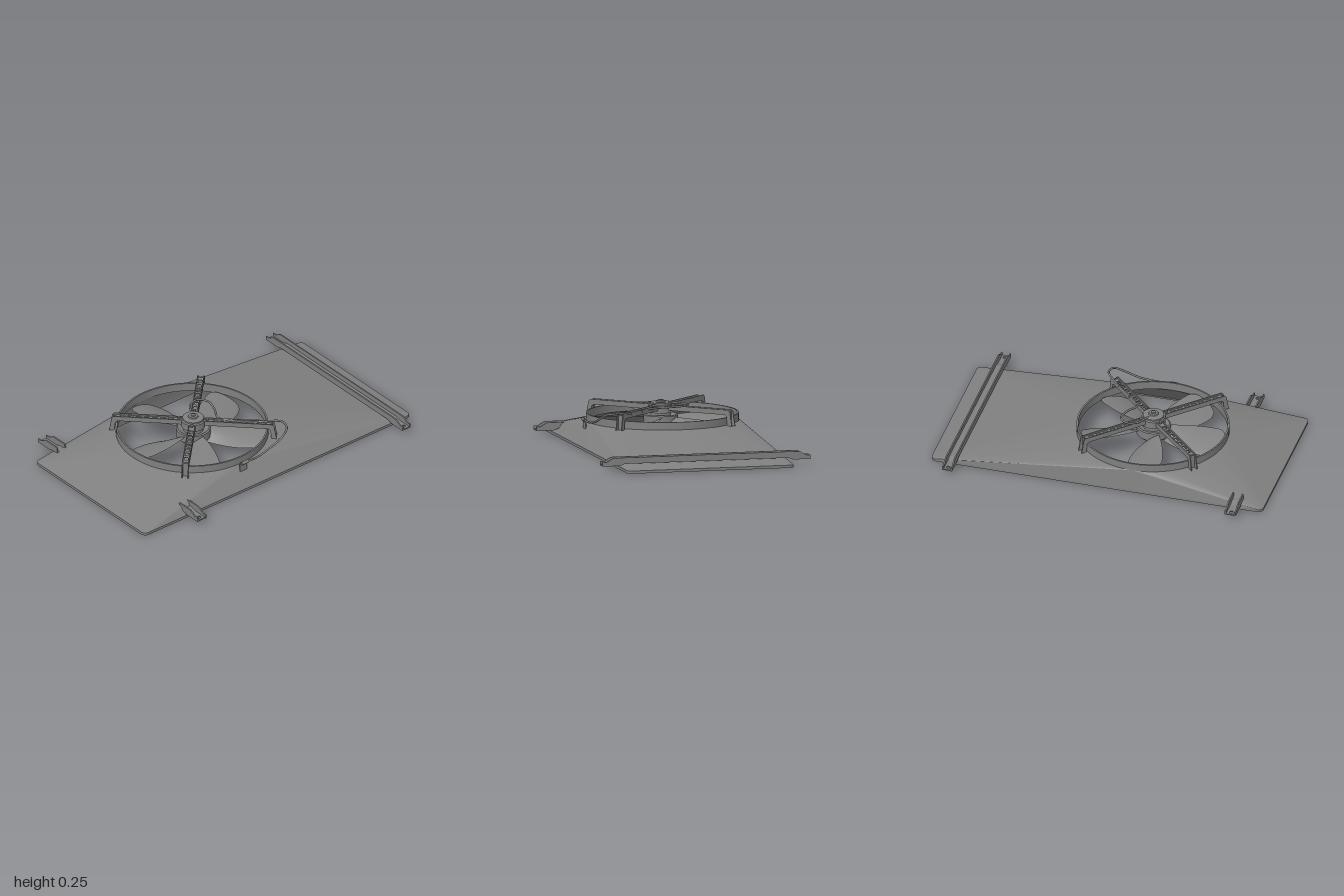
import * as THREE from 'three';
import { toCreasedNormals } from 'three/addons/utils/BufferGeometryUtils.js';
import { ParametricGeometry } from 'three/addons/geometries/ParametricGeometry.js';

const grey = new THREE.MeshStandardMaterial({ color: 0x808080, side: THREE.DoubleSide });
grey.name = 'grey';

const V = (x, y, z) => new THREE.Vector3(x, y, z);

function add(parent, name, geo, x = 0, y = 0, z = 0) {
  const m = new THREE.Mesh(geo, grey);
  m.name = name;
  m.position.set(x, y, z);
  parent.add(m);
  return m;
}

function polygon(points) {
  return new THREE.Shape(points.map(([x, y]) => new THREE.Vector2(x, y)));
}

function extrude(shape, depth) {
  return new THREE.ExtrudeGeometry(shape, { depth, bevelEnabled: false, curveSegments: 10 });
}

function lathe(points, segments = 48) {
  const g = new THREE.LatheGeometry(points.map(([x, y]) => new THREE.Vector2(x, y)), segments);
  return toCreasedNormals(g, 0.5);
}

// Sheet lofted from a rounded rectangle at the base to a round collar
function shroudGeometry() {
  const n = 16, corner = 0.03, cx = -0.208, cz = -0.03;
  const stations = [];
  for (let q = 0; q < 4; q++) {
    for (let i = 0; i <= n; i++) stations.push({ q, a: (q + i / n) * Math.PI / 2 });
  }
  const rect = (inset, y) => stations.map(({ q, a }) => {
    const sx = q === 0 || q === 3 ? 1 : -1, sz = q < 2 ? 1 : -1, r = corner - inset;
    return V(sx * (1 - corner) + r * Math.cos(a), y, sz * (0.5 - corner) + r * Math.sin(a));
  });
  const circle = (r, y) => stations.map(({ a }) => V(cx + r * Math.cos(a), y, cz + r * Math.sin(a)));
  const rows = [
    rect(0, 0), rect(0, 0.016), circle(0.444, 0.135), circle(0.444, 0.18),
    circle(0.434, 0.18), circle(0.434, 0.13), rect(0.008, 0.01), rect(0.008, 0), rect(0, 0),
  ];
  const pos = [], t = new THREE.Triangle();
  const tri = (a, b, c) => {
    if (t.set(a, b, c).getArea() > 1e-8) for (const p of [a, b, c]) pos.push(p.x, p.y, p.z);
  };
  for (let k = 0; k < rows.length - 1; k++) {
    const A = rows[k], B = rows[k + 1];
    for (let i = 0; i < A.length; i++) {
      const j = (i + 1) % A.length;
      tri(A[i], B[i], A[j]);
      tri(A[j], B[i], B[j]);
    }
  }
  const g = new THREE.BufferGeometry();
  g.setAttribute('position', new THREE.Float32BufferAttribute(pos, 3));
  return toCreasedNormals(g, 0.35);
}

// Upright-sided channel running along z; the side profile is given as [z, y]
function channel(parent, name, x, width, sideProfile, floorProfile, holes) {
  const group = new THREE.Group();
  group.name = name;
  const thick = 0.008;
  for (const s of [-1, 1]) {
    const g = extrude(polygon(sideProfile), thick).rotateY(-Math.PI / 2);
    add(group, 'channelSide', g, x + s * (width - thick) / 2 + thick / 2);
  }
  add(group, 'channelFloor', extrude(polygon(floorProfile), width).rotateY(-Math.PI / 2), x + width / 2);
  for (const s of holes) {
    const w = width / 2;
    const plate = polygon([[-w, 0.52], [w, 0.52], [w, 0.623], [-w, 0.623]]);
    const hole = new THREE.Path();
    hole.absarc(0, 0.598, 0.011, 0, Math.PI * 2, true);
    plate.holes.push(hole);
    const g = extrude(plate, 0.007).rotateX(Math.PI / 2);
    if (s < 0) g.rotateY(Math.PI);
    add(group, 'endPlate', g, x, 0.04, 0);
  }
  parent.add(group);
  return group;
}

// Blade swept around the hub, high on its first edge and low on its last
function bladeGeometry(startDeg) {
  return new ParametricGeometry((u, v, p) => {
    const e = Math.abs(2 * u - 1);
    const r = 0.085 + v * (0.337 - 0.035 * e ** 5);
    const a0 = -10 + 11 * Math.sqrt(v) + 3 * v * v * (1 - u);
    const a1 = 46 - 12 * v * v;
    const a = THREE.MathUtils.degToRad(startDeg + a0 + (a1 - a0) * u);
    const y = 0.155 - 0.065 * u + 0.012 * Math.sin(u * Math.PI);
    p.set(r * Math.cos(a), y, r * Math.sin(a));
  }, 14, 14);
}

// Slotted arm along +x with a leg down to the shroud
function makeArm() {
  const arm = new THREE.Group();
  arm.name = 'motorArm';
  const side = [[0.06, 0.195], [0.06, 0.225], [0.462, 0.225], [0.474, 0.212],
    [0.488, 0.13], [0.458, 0.13], [0.452, 0.185], [0.44, 0.195]];
  for (const z of [-0.021, 0.015]) add(arm, 'armSide', extrude(polygon(side), 0.006), 0, 0, z);
  const web = polygon([[0.06, -0.02], [0.452, -0.02], [0.452, 0.02], [0.06, 0.02]]);
  for (let i = 0; i < 7; i++) {
    const x = 0.115 + i * 0.047;
    web.holes.push(new THREE.Path([[x, -0.01], [x, 0.01], [x + 0.03, 0.01], [x + 0.03, -0.01]]
      .map(([a, b]) => new THREE.Vector2(a, b))));
  }
  add(arm, 'armWeb', extrude(web, 0.006).rotateX(Math.PI / 2), 0, 0.216, 0);
  add(arm, 'armLeg', new THREE.BoxGeometry(0.006, 0.086, 0.036), 0.461, 0.173, 0);
  return arm;
}

export function createModel() {
  const model = new THREE.Group();
  model.name = 'fanShroudAssembly';
  add(model, 'shroud', shroudGeometry());

  // Mounting crossbar and two short brackets
  const end = [[0.49, 0.045], [0.52, 0.033], [0.625, 0.033], [0.625, 0.057], [0.6, 0.057], [0.56, 0.08]];
  const flip = (pts) => pts.map(([z, y]) => [-z, y]).reverse();
  const floorEnd = [[0.49, 0.044], [0.52, 0.033], [0.53, 0.04], [0.495, 0.051]];
  channel(model, 'crossbar', 0.865, 0.06, [...end, ...flip(end)],
    [...floorEnd, ...flip(floorEnd)], [1, -1]);
  const shortSide = [[0.45, 0.045], ...end, [0.455, 0.08]];
  const shortFloor = [[0.45, 0.044], ...floorEnd, [0.45, 0.051]];
  channel(model, 'frontBracket', -0.663, 0.066, shortSide, shortFloor, [1]).position.z = -0.01;
  channel(model, 'backBracket', 0.842, 0.066, shortSide, shortFloor, [1]).rotation.y = Math.PI;

  // Fan, motor and arms share one axis
  const fan = new THREE.Group();
  fan.name = 'fanAndMotor';
  fan.position.set(-0.208, 0, -0.02);
  model.add(fan);
  for (const deg of [20, 102, 165, 243, 319]) add(fan, 'blade', bladeGeometry(deg));
  add(fan, 'fanHub', lathe([[0, 0.105], [0.025, 0.105], [0.028, 0.095], [0.05, 0.095], [0.055, 0.105],
    [0.09, 0.105], [0.1, 0.115], [0.1, 0.165], [0.092, 0.17], [0.085, 0.165], [0.07, 0.155], [0, 0.155]]));
  add(fan, 'motor', lathe([[0, 0.15], [0.06, 0.15], [0.06, 0.18], [0.07, 0.18], [0.07, 0.222], [0.062, 0.227],
    [0.062, 0.237], [0.055, 0.241], [0.03, 0.241], [0.027, 0.248], [0.014, 0.248], [0.012, 0.254], [0, 0.254]]));
  for (let i = 0; i < 4; i++) {
    const a = Math.PI / 4 + i * Math.PI / 2;
    const arm = makeArm();
    arm.rotation.y = a;
    fan.add(arm);
    add(fan, 'motorBolt', new THREE.CylinderGeometry(0.009, 0.009, 0.012, 6),
      0.083 * Math.cos(a), 0.228, 0.083 * Math.sin(a));
  }

  // Cable from the motor, along one arm and round to the connector
  const cable = new THREE.CatmullRomCurve3([
    V(-0.19, 0.24, -0.06), V(-0.14, 0.235, -0.13), V(-0.08, 0.236, -0.15), V(-0.035, 0.234, -0.1),
    V(-0.05, 0.228, -0.02), V(-0.085, 0.22, 0.06), V(-0.04, 0.218, 0.13), V(0.05, 0.215, 0.22),
    V(0.12, 0.225, 0.28), V(0.165, 0.232, 0.34), V(0.15, 0.225, 0.4), V(0.09, 0.195, 0.425),
    V(0, 0.165, 0.43), V(-0.1, 0.15, 0.44), V(-0.2, 0.152, 0.442),
  ]);
  add(model, 'cable', new THREE.TubeGeometry(cable, 120, 0.006, 8));
  add(model, 'cableConnector', new THREE.CylinderGeometry(0.01, 0.01, 0.045, 12).rotateZ(Math.PI / 2),
    -0.2, 0.152, 0.442);
  add(model, 'connectorTab', new THREE.BoxGeometry(0.05, 0.055, 0.008), -0.208, 0.125, 0.436);
  for (const [x, z] of [[-0.02, 0.15], [0.07, 0.24]]) {
    const tie = add(model, 'cableTie', new THREE.TorusGeometry(0.009, 0.003, 6, 16), x, 0.217, z);
    tie.rotation.y = Math.PI / 4;
  }
  return model;
}
